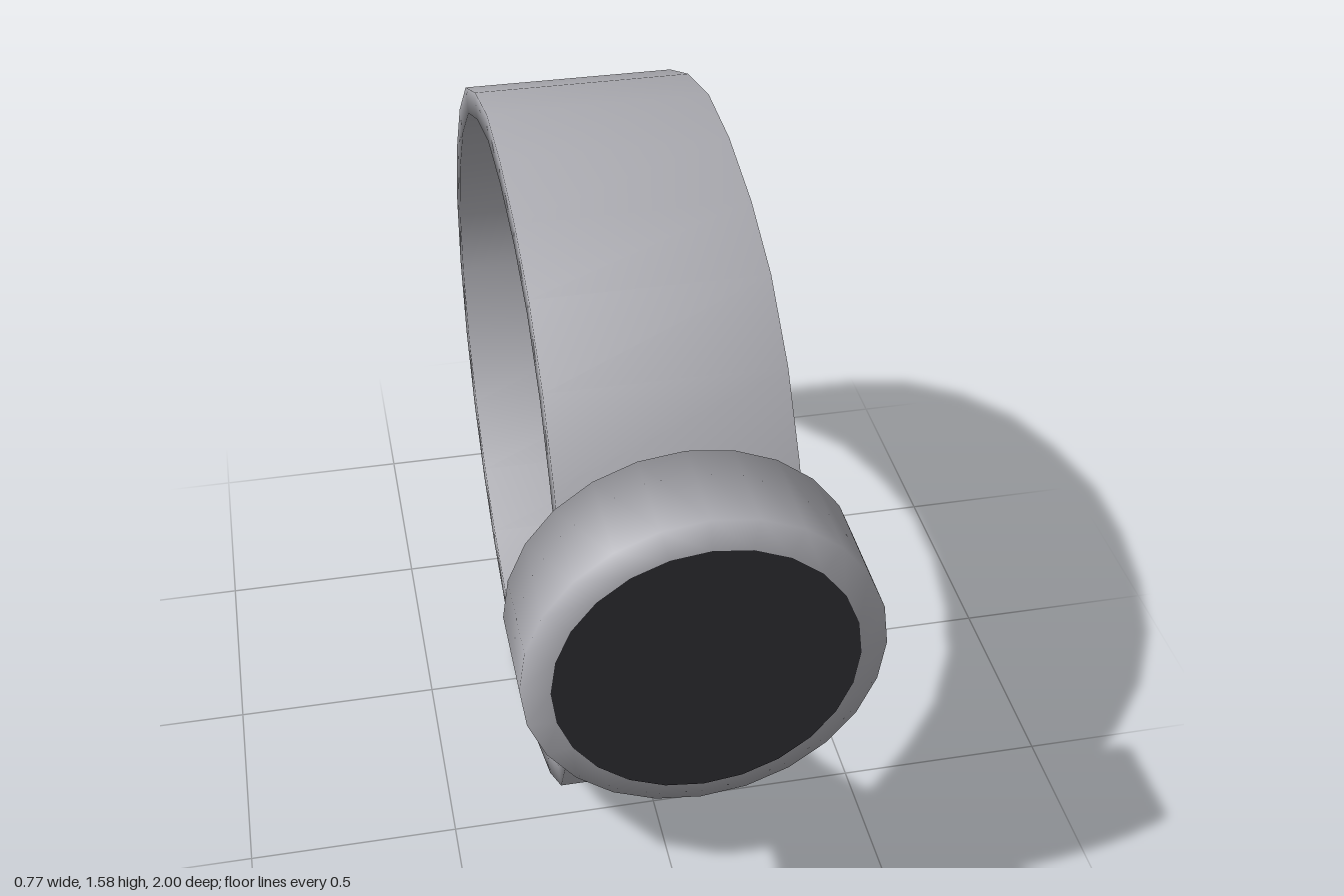
import * as THREE from 'three';

const metal = new THREE.MeshStandardMaterial({ name: 'satin grey', color: 0xacacb2 });
const glass = new THREE.MeshStandardMaterial({ name: 'dark glass', color: 0x2f2e34 });

// Centre line of the band as [z, y], from the front over the top and round
const bandPath = [
  [0.755, 1.01], [0.66, 1.17], [0.54, 1.32], [0.38, 1.44], [0.2, 1.51], [-0.01, 1.55],
  [-0.21, 1.553], [-0.42, 1.5], [-0.615, 1.415], [-0.78, 1.27], [-0.9, 1.095],
  [-0.967, 0.9], [-0.967, 0.71], [-0.905, 0.515], [-0.79, 0.35], [-0.635, 0.215],
  [-0.46, 0.12], [-0.265, 0.06], [-0.06, 0.034], [0.115, 0.05], [0.305, 0.105],
  [0.5, 0.2], [0.665, 0.33], [0.75, 0.49], [0.78, 0.64], [0.783, 0.81],
];

// Closed strap: a flat rectangle swept along the path, with shared soft normals
function bandGeometry(halfWidth, halfThickness) {
  const n = bandPath.length, positions = [], index = [];
  for (let i = 0; i < n; i++) {
    const [z, y] = bandPath[i];
    const prev = bandPath[(i + n - 1) % n], next = bandPath[(i + 1) % n];
    const dz = next[0] - prev[0], dy = next[1] - prev[1], len = Math.hypot(dz, dy);
    const nz = (dy / len) * halfThickness, ny = (-dz / len) * halfThickness;
    for (const [sx, so] of [[-1, 1], [1, 1], [1, -1], [-1, -1]]) {
      positions.push(sx * halfWidth, y + so * ny, z + so * nz);
    }
    for (let k = 0; k < 4; k++) {
      const a = i * 4 + k, b = i * 4 + ((k + 1) % 4);
      const j = ((i + 1) % n) * 4, c = j + ((k + 1) % 4), d = j + k;
      index.push(a, b, c, a, c, d);
    }
  }
  const geometry = new THREE.BufferGeometry();
  geometry.setAttribute('position', new THREE.Float32BufferAttribute(positions, 3));
  geometry.setIndex(index);
  geometry.computeVertexNormals();
  return geometry;
}

export function createModel() {
  const watch = new THREE.Group();
  watch.name = 'wristWatch';

  const add = (name, geometry, material) => {
    const mesh = new THREE.Mesh(geometry, material);
    mesh.name = name;
    watch.add(mesh);
    return mesh;
  };

  add('band', bandGeometry(0.262, 0.032), metal);

  // Round case with a bevelled front rim, turned to face forward
  const profile = [[0, 0.754], [0.387, 0.754], [0.387, 0.98], [0.325, 0.999]]
    .map(([r, h]) => new THREE.Vector2(r, h));
  const caseGeometry = new THREE.LatheGeometry(profile, 24).rotateX(Math.PI / 2);
  add('case', caseGeometry, metal).position.y = 0.915;

  // Dark face filling the rim
  const face = add('face', new THREE.CircleGeometry(0.326, 24), glass);
  face.position.set(0, 0.915, 1);

  return watch;
}
